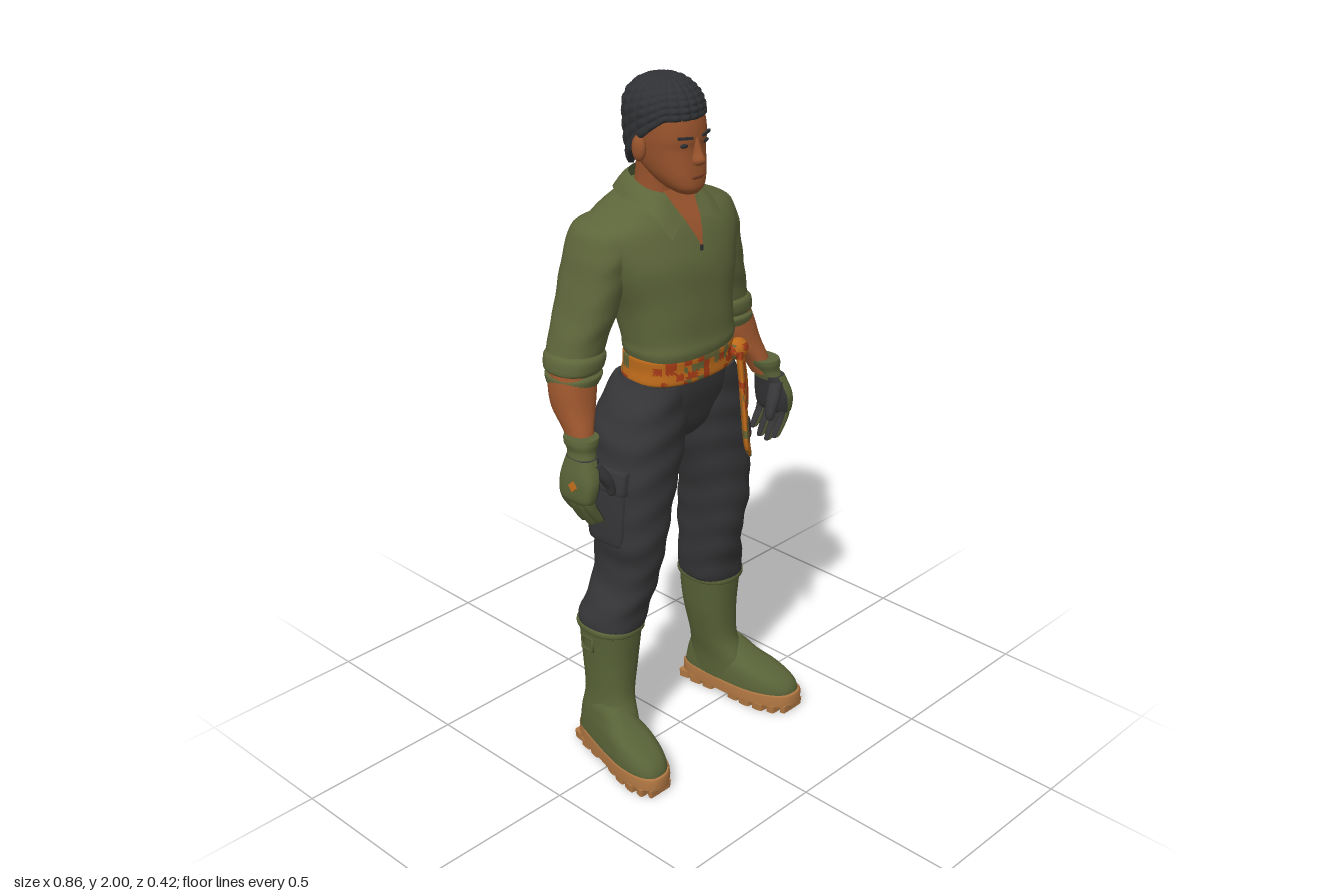
import * as THREE from 'three';

const mat = (name, color, side = THREE.FrontSide) => {
  const m = new THREE.MeshStandardMaterial({ color, side });
  m.name = name;
  return m;
};

// Grid surface; rows run downwards, columns run round from +x towards +z
function surface(rows, cols, point, closed = true) {
  const pos = [], idx = [], w = closed ? cols : cols + 1;
  for (let i = 0; i <= rows; i++) for (let j = 0; j < w; j++) pos.push(...point(i, j));
  for (let i = 0; i < rows; i++) for (let j = 0; j < cols; j++) {
    const a = i * w + j, b = i * w + (j + 1) % w;
    idx.push(a, b, a + w, b, b + w, a + w);
  }
  return { pos, idx };
}

function finish({ pos, idx }) {
  const g = new THREE.BufferGeometry();
  g.setAttribute('position', new THREE.Float32BufferAttribute(pos, 3));
  g.setIndex(idx);
  g.computeVertexNormals();
  return g;
}

// Smooth closed body through cross-sections [y, xMin, xMax, zMin, zMax], listed top to bottom
function loft(secs, { n = 28, p = 2.3, k = 4, fold = 0, freq = 55, warp = q => q } = {}) {
  const at = t => {
    const i = Math.min(Math.floor(t), secs.length - 2), f = t - i;
    const S = j => secs[Math.max(0, Math.min(secs.length - 1, j))];
    return S(i).map((b, c) => {
      const a = S(i - 1)[c], d = S(i + 1)[c], e = S(i + 2)[c];
      return b + 0.5 * f * (d - a + f * (2 * a - 5 * b + 4 * d - e + f * (3 * (b - d) + e - a)));
    });
  };
  const pw = v => Math.sign(v) * Math.abs(v) ** (2 / p);
  const rows = (secs.length - 1) * k;
  const ring = (i, j) => {
    const [y, x0, x1, z0, z1] = at(i / k), a = j / n * Math.PI * 2;
    const f = 1 + fold * Math.sin(y * freq + 1.6 * Math.sin(a * 2 + 0.6));
    return warp([(x0 + x1) / 2 + (x1 - x0) / 2 * f * pw(Math.cos(a)), y,
      (z0 + z1) / 2 + (z1 - z0) / 2 * f * pw(Math.sin(a))]);
  };
  const s = surface(rows, n, ring);
  for (const [row, top] of [[0, true], [rows, false]]) {
    const base = s.pos.length / 3, [y, x0, x1, z0, z1] = at(row / k);
    for (let j = 0; j < n; j++) s.pos.push(...ring(row, j));
    s.pos.push(...warp([(x0 + x1) / 2, y, (z0 + z1) / 2]));
    for (let j = 0; j < n; j++) {
      const a = base + j, b = base + (j + 1) % n;
      s.idx.push(base + n, top ? b : a, top ? a : b);
    }
  }
  return finish(s);
}
const sym = secs => secs.map(([y, w, z0, z1]) => [y, -w, w, z0, z1]);

// Sort triangles into material groups by a rule on centre and normal
function paint(g, count, rule) {
  const buckets = Array.from({ length: count }, () => []), P = g.attributes.position, I = g.index.array;
  const v = [0, 1, 2].map(() => new THREE.Vector3()), c = new THREE.Vector3(), t = new THREE.Triangle(), nr = new THREE.Vector3();
  for (let i = 0; i < I.length; i += 3) {
    v.forEach((q, k) => q.fromBufferAttribute(P, I[i + k]));
    t.set(...v).getMidpoint(c);
    t.getNormal(nr);
    buckets[rule(c, nr)].push(I[i], I[i + 1], I[i + 2]);
  }
  g.setIndex(buckets.flat());
  let start = 0;
  buckets.forEach((b, m) => { g.addGroup(start, b.length, m); start += b.length; });
  return g;
}

function mirror(g) {
  const m = g.clone().scale(-1, 1, 1), I = m.index.array;
  for (let i = 0; i < I.length; i += 3) [I[i], I[i + 1]] = [I[i + 1], I[i]];
  return m;
}

export function createModel() {
  const root = new THREE.Group();
  root.name = 'standingFigure';
  const shirt = mat('oliveShirt', 0x5d653a, THREE.DoubleSide), boot = mat('greenRubber', 0x586237);
  const pants = mat('charcoalCloth', 0x363638), skin = mat('skin', 0x98532c), lip = mat('darkSkin', 0x7a3f24);
  const hair = mat('blackHair', 0x303134, THREE.DoubleSide), sole = mat('tanSole', 0xb27843);
  const orange = mat('sashOrange', 0xbd6a1a), red = mat('sashRed', 0xa83c16), teal = mat('sashGreen', 0x6a6636);

  const add = (name, g, m, parent = root) => {
    const mesh = new THREE.Mesh(g, m);
    mesh.name = name;
    parent.add(mesh);
  };
  const pair = (name, g, m, parent = root) => {
    add(name + 'Left', g, m, parent);
    add(name + 'Right', mirror(g), m, parent);
  };
  const ball = (x, y, z, sx, sy, sz) => new THREE.SphereGeometry(1, 20, 14).scale(sx, sy, sz).translate(x, y, z);

  // Shirt body
  add('shirtBody', loft(sym([[1.7, .07, -.165, -.035], [1.68, .105, -.185, -.01], [1.65, .18, -.204, .012],
    [1.615, .235, -.212, .042], [1.56, .24, -.213, .07], [1.5, .222, -.207, .088], [1.4, .186, -.168, .1],
    [1.31, .17, -.13, .107], [1.275, .172, -.124, .113], [1.245, .163, -.115, .106]]), { n: 48, p: 2.4, fold: .008, freq: 48 }), shirt);
  // Collar and skin showing in the open neck
  const V = a => new THREE.CatmullRomCurve3(a.map(q => new THREE.Vector3(...q)));
  const half = a => [...a.slice(1).reverse().map(([x, y, z]) => [-x, y, z]), ...a];
  const upper = V(half([[0, 1.735, -.16], [.055, 1.73, -.14], [.078, 1.712, -.075], [.062, 1.678, .002], [.03, 1.625, .05]]));
  const lower = V(half([[0, 1.685, -.19], [.08, 1.685, -.174], [.115, 1.674, -.09], [.113, 1.648, .012], [.1, 1.592, .066]]));
  add('collar', finish(surface(3, 40, (i, j) => {
    const q = upper.getPoint(j / 40).lerp(lower.getPoint(j / 40), i / 3);
    return [q.x, q.y + (i % 3 ? .006 : 0), q.z];
  }, false)), shirt);
  const opening = [[.055, 1.7, -.008], [.04, 1.66, .018], [.03, 1.63, .043], [.015, 1.59, .067], [.001, 1.553, .081]];
  add('openNeck', finish(surface(4, 4, (i, j) => {
    const [w, y, z] = opening[i];
    return [w * (1 - j / 2), y, z];
  }, false)), skin);
  add('zipPull', new THREE.BoxGeometry(.007, .016, .006).translate(0, 1.552, .078), hair);

  // Sleeves, rolled cuffs, forearms
  pair('sleeve', loft([[1.64, .12, .19, -.165, -.05], [1.615, .11, .25, -.197, -.015], [1.56, .12, .277, -.204, 0],
    [1.5, .145, .293, -.206, -.006], [1.4, .176, .322, -.201, -.018], [1.33, .2, .348, -.195, -.033],
    [1.27, .22, .366, -.187, -.042]], { fold: .012, freq: 70 }), shirt);
  pair('cuff', loft([[1.295, .22, .358, -.187, -.04], [1.28, .21, .37, -.195, -.03], [1.25, .22, .374, -.19, -.032],
    [1.24, .23, .368, -.18, -.04], [1.23, .225, .375, -.184, -.032], [1.208, .24, .374, -.172, -.036]]), shirt);
  pair('forearm', loft([[1.25, .25, .368, -.168, -.045], [1.2, .255, .381, -.158, -.032], [1.15, .278, .385, -.138, -.018],
    [1.1, .316, .386, -.085, .004], [1.05, .335, .39, -.05, .02]]), skin);

  // Gloves: green backs facing out and forwards, dark palms facing in and back
  const gloveMats = [boot, pants], glove = g => paint(g, 2, (c, nr) => nr.x * .85 + nr.z * .4 > .12 ? 0 : 1);
  pair('gloveCuff', loft([[1.095, .322, .406, -.065, .034], [1.08, .326, .408, -.062, .036], [1.06, .337, .404, -.05, .034],
    [1.035, .345, .41, -.048, .042]]), boot);
  pair('hand', glove(loft([[1.045, .345, .41, -.045, .045], [.99, .358, .423, -.058, .068], [.94, .37, .425, -.058, .064],
    [.922, .38, .418, -.05, .054]], { p: 2.8 })), gloveMats);
  pair('gloveMark', new THREE.BoxGeometry(.005, .022, .022).rotateX(Math.PI / 4).rotateZ(.1).translate(.425, .975, .012), orange);
  [[.044, .855], [.016, .838], [-.013, .842], [-.041, .862]].forEach(([z, end], i) => {
    const d = .945 - end, s = (f, a, b, r) => [.945 - d * f, a, b, z - r, z + r];
    pair('finger' + (i + 1), glove(loft([s(0, .378, .42, .014), s(.35, .374, .411, .0145), s(.7, .356, .392, .013),
      s(.95, .346, .374, .01), s(1, .35, .366, .004)], { n: 12 })), gloveMats);
  });
  pair('thumb', loft([[1.03, .352, .385, .015, .055], [.99, .326, .365, .025, .066], [.955, .313, .341, .035, .067],
    [.932, .312, .332, .04, .064], [.925, .318, .328, .047, .058]], { n: 14 }), pants);

  // Trousers with thigh pockets
  add('hips', loft(sym([[1.215, .162, -.115, .1], [1.15, .188, -.152, .096], [1.09, .19, -.165, .082],
    [1.03, .12, -.143, .066], [.99, .05, -.09, .035]]), { n: 40, p: 2.4 }), pants);
  pair('trouserLeg', loft([[1.18, .01, .18, -.13, .088], [1.1, 0, .222, -.16, .087], [1.04, -.002, .244, -.163, .087],
    [.98, .01, .252, -.148, .086], [.9, .036, .259, -.13, .085], [.8, .066, .259, -.125, .082], [.71, .082, .26, -.138, .078],
    [.64, .094, .248, -.148, .066], [.57, .102, .254, -.15, .052], [.5, .11, .28, -.16, .034], [.46, .115, .294, -.17, .026],
    [.43, .124, .293, -.168, .02], [.415, .14, .28, -.155, .01]], { n: 36, k: 5, fold: .02, freq: 62 }), pants);
  pair('pocket', loft([[.935, .215, .256, -.105, .03], [.9, .215, .265, -.108, .03], [.8, .22, .268, -.112, .028],
    [.725, .22, .266, -.112, .02], [.712, .225, .255, -.1, .012]], { p: 3.6 }), pants);
  pair('pocketFlap', loft([[.955, .22, .256, -.108, .035], [.948, .22, .264, -.112, .038], [.895, .22, .272, -.114, .038],
    [.885, .22, .266, -.11, .034]], { p: 4 }), pants);

  // Boots
  pair('bootShaft', loft([[.425, .13, .291, -.17, .016], [.38, .134, .287, -.17, .012], [.3, .144, .282, -.163, .006],
    [.2, .165, .281, -.152, .008], [.13, .18, .29, -.162, .04], [.06, .185, .292, -.17, .05]], { n: 32 }), boot);
  pair('bootRim', loft([[.437, .132, .289, -.168, .014], [.434, .124, .298, -.177, .023], [.42, .124, .298, -.177, .023],
    [.414, .132, .289, -.17, .015]], { n: 32 }), boot);
  pair('bootBuckle', new THREE.TorusGeometry(.028, .006, 6, 4, Math.PI * 2).rotateZ(Math.PI / 4).rotateY(Math.PI / 2)
    .translate(.287, .375, -.095), boot);
  // Feet are turned outwards and narrow towards the heel
  const turn = ([x, y, z]) => [.256 + .17 * z + x * (.8 + .2 * THREE.MathUtils.smoothstep(z, -.1, .1)), y, z];
  pair('bootFoot', loft(sym([[.185, .04, -.14, .004], [.165, .054, -.154, .03], [.14, .061, -.16, .07], [.118, .067, -.167, .135],
    [.095, .071, -.172, .18], [.07, .074, -.176, .199], [.045, .074, -.177, .202]]), { n: 36, p: 2.6, warp: turn }), boot);
  const soleMats = [sole, pants], under = g => paint(g, 2, (c, nr) => nr.y < -.6 ? 1 : 0);
  pair('solePlate', under(loft(sym([[.06, .075, -.18, .206], [.056, .078, -.184, .211], [.022, .077, -.184, .211],
    [.02, .076, -.183, .209]]), { n: 40, p: 2.6, k: 1, warp: turn })), soleMats);
  // Tread lugs: close-set at heel and ball, none under the arch
  [[-.161, .058, .02], [-.115, .068, .022], [-.068, .07, .021], [.03, .07, .021], [.077, .073, .022], [.124, .072, .021],
    [.164, .062, .015], [.193, .042, .01]].forEach(([z, w, d], i) => {
    pair('treadLug' + (i + 1), under(loft(sym([[.024, w, z - d, z + d], [0, w - .002, z - d + .002, z + d - .002]]),
      { n: 16, p: 8, k: 1, warp: turn })), soleMats);
  });

  // Patterned sash, knot and hanging tails
  const sashMats = [orange, red, teal];
  const sash = g => paint(g, 3, c => {
    const h = Math.sin(Math.floor(c.x * 45) * 12.99 + Math.floor(c.y * 50) * 78.23 + Math.floor(c.z * 30) * 37.7) * 43758.5;
    const r = h - Math.floor(h);
    return r < .6 ? 0 : r < .8 ? 1 : 2;
  });
  add('sashBelt', sash(loft(sym([[1.262, .163, -.118, .104], [1.255, .169, -.124, .11], [1.225, .168, -.125, .108],
    [1.195, .172, -.13, .109], [1.186, .168, -.125, .104]]), { n: 80, p: 2.4 })), sashMats);
  add('sashKnot', sash(ball(.138, 1.222, .088, .032, .032, .028)), sashMats);
  const slant = ([x, y, z]) => [x, y, z - (x - .135) * .9];
  add('sashTailLong', sash(loft([[1.22, .12, .155, .08, .108], [1.12, .112, .18, .095, .122], [1.0, .102, .186, .108, .136],
    [.94, .106, .184, .118, .143], [.9, .145, .178, .132, .15]], { k: 7, warp: slant })), sashMats);
  add('sashTailShort', sash(loft([[1.215, .135, .17, .085, .112], [1.13, .155, .208, .1, .128], [1.05, .165, .228, .11, .135],
    [1.02, .17, .225, .114, .132]], { k: 7, warp: slant })), sashMats);

  // Head and neck
  const head = new THREE.Group();
  head.name = 'head';
  head.position.x = -.005;
  root.add(head);
  add('neck', loft(sym([[1.79, .06, -.13, 0], [1.7, .06, -.14, -.018], [1.6, .075, -.16, -.01]])), skin, head);
  add('face', loft(sym([[1.985, .03, -.09, -.01], [1.95, .07, -.14, .035], [1.9, .088, -.158, .057], [1.85, .089, -.155, .066],
    [1.82, .086, -.147, .063], [1.78, .079, -.125, .067], [1.745, .068, -.085, .071], [1.715, .05, -.04, .071],
    [1.698, .028, -.005, .06]]), { n: 36 }), skin, head);
  add('nose', loft(sym([[1.85, .009, .04, .068], [1.815, .011, .04, .08], [1.792, .018, .04, .091], [1.778, .016, .04, .08]]),
    { n: 16, p: 2 }), skin, head);
  add('lips', ball(0, 1.746, .067, .024, .007, .0065), lip, head);
  pair('ear', ball(.096, 1.818, -.052, .016, .036, .022), skin, head);
  pair('eye', ball(.036, 1.833, .055, .017, .007, .006), hair, head);
  pair('brow', new THREE.BoxGeometry(.042, .007, .008).rotateZ(.08).rotateY(.3).translate(.038, 1.853, .059), hair, head);

  // Short hair in rows of small curls: low at the nape, short at the forehead
  const R = 54, N = 132;
  add('hair', finish(surface(R, N, (i, j) => {
    const a = j / N * Math.PI * 2, s = Math.sin(a), t = Math.min(1, i / (R - 1));
    const low = s > 0 ? THREE.MathUtils.lerp(1.835, 1.895, Math.min(1, s * 1.5)) : THREE.MathUtils.lerp(1.835, 1.755, Math.min(1, -s * 1.4));
    const y = 1.99 - (1.99 - low) * (1 - Math.cos(t * Math.PI / 2));
    const r0 = y > 1.9 ? Math.sqrt(Math.max(0, 1 - ((y - 1.9) / .09) ** 2.2)) : 1 - 6 * (1.9 - y) ** 2;
    const curl = Math.sqrt(Math.abs(Math.sin(a * 11) * Math.sin(t * Math.PI * 9)));
    const r = i === R ? r0 * .84 : r0 * (.99 + .055 * curl * Math.min(1, t * 4));
    return [.102 * r * Math.cos(a), y + .01 * (1 - t) + .004 * curl * (1 - t) * Math.min(1, t * 4), -.055 + .114 * r * s];
  })), hair, head);

  return root;
}
